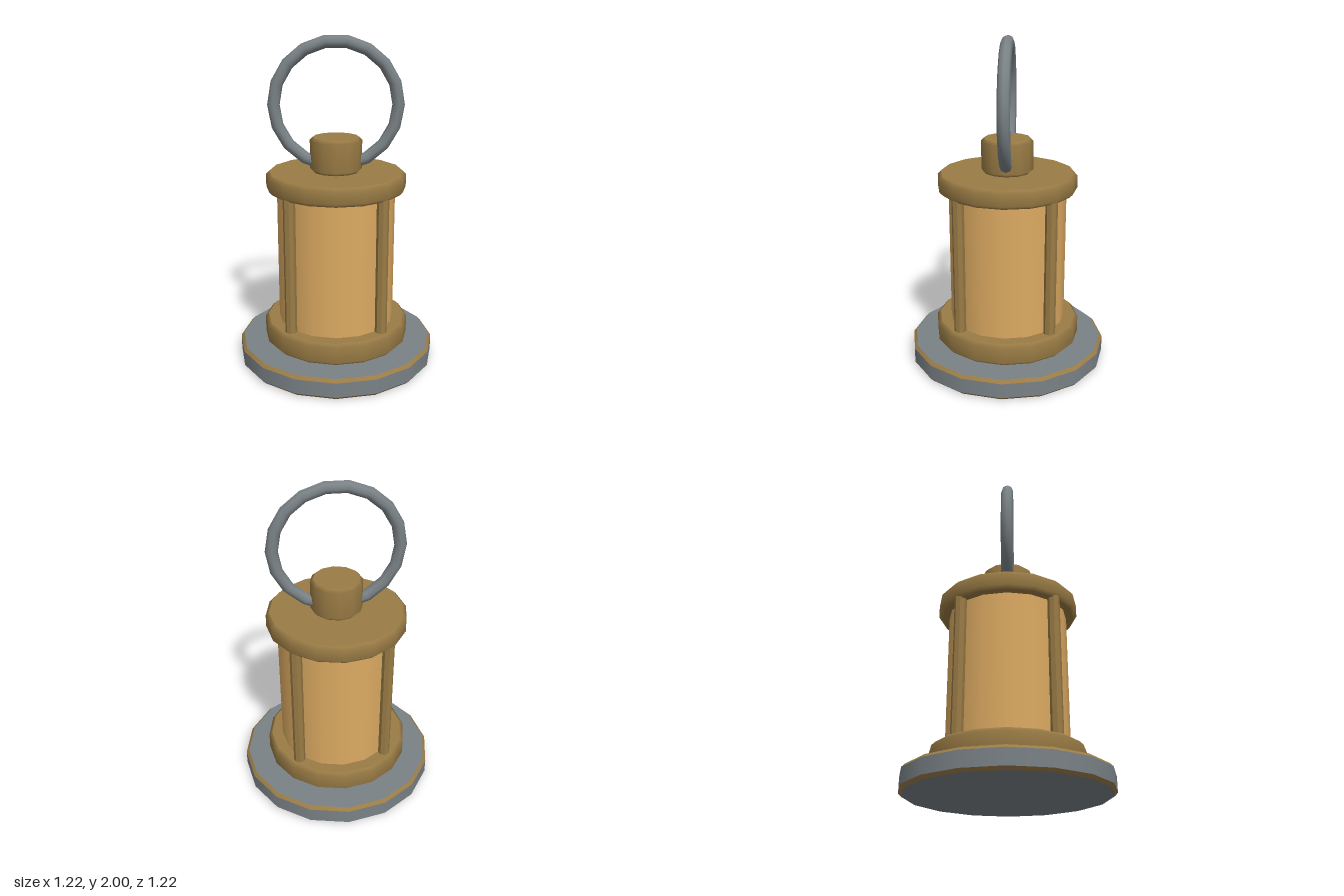
import * as THREE from 'three';

export function createModel() {
  const brass = new THREE.MeshStandardMaterial({ name: 'brass', color: 0x997b45 });
  const iron = new THREE.MeshStandardMaterial({ name: 'iron', color: 0x7a8286 });
  const glass = new THREE.MeshStandardMaterial({ name: 'warmGlass', color: 0xdcaa62 });

  const lantern = new THREE.Group();
  lantern.name = 'lantern';

  const add = (parent, name, geometry, material) => {
    const mesh = new THREE.Mesh(geometry, material);
    mesh.name = name;
    parent.add(mesh);
    return mesh;
  };
  const lathe = (points, sides) =>
    new THREE.LatheGeometry(points.map(([r, y]) => new THREE.Vector2(r, y)), sides);

  // Faceted disc with bevelled rims and flat ends
  function bevelledDisc(name, radius, y0, y1, bevel, sides, material, rimMaterial = material) {
    const group = new THREE.Group();
    group.name = name;
    lantern.add(group);
    const inner = radius - bevel;
    const profile = [[inner, y0], [radius, y0 + bevel], [radius, y1 - bevel], [inner, y1]];
    if (rimMaterial === material) {
      add(group, name + 'Side', lathe(profile, sides), material);
    } else {
      add(group, name + 'LowerRim', lathe(profile.slice(0, 2), sides), rimMaterial);
      add(group, name + 'Side', lathe(profile.slice(1, 3), sides), material);
      add(group, name + 'UpperRim', lathe(profile.slice(2), sides), rimMaterial);
    }
    for (const [end, y, turn] of [['Top', y1, -1], ['Bottom', y0, 1]]) {
      const geometry = new THREE.CircleGeometry(inner, sides).rotateX(turn * Math.PI / 2);
      add(group, name + end, geometry, material).position.y = y;
    }
  }

  // Stacked body
  bevelledDisc('base', 0.61, 0, 0.127, 0.018, 16, iron, brass);
  bevelledDisc('collar', 0.45, 0.127, 0.265, 0.02, 16, brass);
  bevelledDisc('cap', 0.424, 1.087, 1.2, 0.02, 16, brass);
  bevelledDisc('knob', 0.157, 1.2, 1.408, 0.018, 12, brass);

  // Glowing glass cylinder
  add(lantern, 'glassBody', lathe([[0.36, 0.25], [0.36, 1.1]], 16), glass);

  // Four posts on the diagonals
  const postGeometry = new THREE.CylinderGeometry(0.036, 0.036, 0.86, 8).toNonIndexed();
  postGeometry.computeVertexNormals();
  for (let i = 0; i < 4; i++) {
    const angle = Math.PI / 4 + i * Math.PI / 2;
    const post = add(lantern, 'post', postGeometry, brass);
    post.position.set(Math.sin(angle) * 0.382, 0.67, Math.cos(angle) * 0.382);
  }

  // Carrying ring
  add(lantern, 'carryingRing', new THREE.TorusGeometry(0.369, 0.037, 8, 18), iron).position.y = 1.6;

  return lantern;
}
